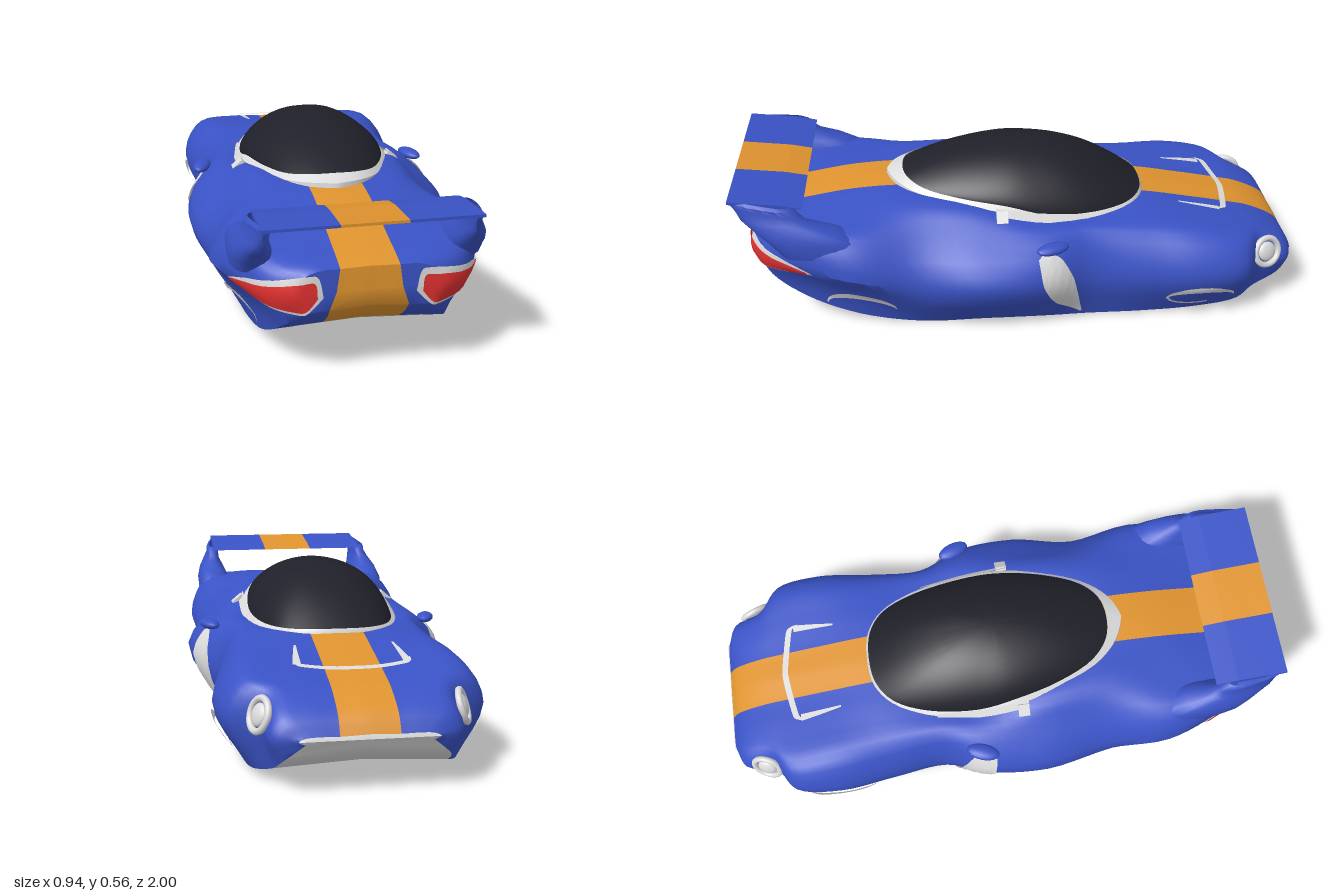
import * as THREE from 'three';
import { toCreasedNormals } from 'three/addons/utils/BufferGeometryUtils.js';

const V = (x, y, z = 0) => new THREE.Vector3(x, y, z);
const paint = (name, color) => {
  const m = new THREE.MeshStandardMaterial({ color, side: THREE.DoubleSide });
  m.name = name;
  return m;
};

// Skin a list of equal-length rings; pick(i, j) chooses the material group of each quad
function loft(rings, closed = true, pick = () => 0, crease = 0.7) {
  const n = rings[0].length, groups = [[], [], []];
  for (let i = 0; i < rings.length - 1; i++) {
    for (let j = 0; j < (closed ? n : n - 1); j++) {
      const a = i * n + j, b = i * n + (j + 1) % n, c = a + n, d = b + n;
      groups[pick(i, j)].push(a, c, b, b, c, d);
    }
  }
  const g = new THREE.BufferGeometry().setFromPoints(rings.flat());
  g.setIndex(groups.flat());
  let start = 0;
  groups.forEach((list, k) => {
    if (list.length) g.addGroup(start, list.length, k);
    start += list.length;
  });
  return toCreasedNormals(g, crease);
}

// Body sections: z, top y, inner shoulder x y, outer shoulder x y, widest x y, sill x y
const SECTIONS = [
  [-0.995, 0.19, 0.15, 0.188, 0.19, 0.185, 0.21, 0.175, 0.19, 0.165],
  [-0.96, 0.24, 0.18, 0.238, 0.25, 0.228, 0.285, 0.18, 0.25, 0.11],
  [-0.85, 0.295, 0.2, 0.296, 0.275, 0.284, 0.312, 0.2, 0.275, 0.052],
  [-0.78, 0.312, 0.22, 0.314, 0.345, 0.304, 0.403, 0.2, 0.32, 0.033],
  [-0.62, 0.345, 0.22, 0.345, 0.35, 0.335, 0.43, 0.2, 0.34, 0.02],
  [-0.42, 0.38, 0.22, 0.37, 0.33, 0.345, 0.405, 0.2, 0.34, 0.012],
  [-0.22, 0.38, 0.24, 0.37, 0.32, 0.36, 0.385, 0.2, 0.335, 0.01],
  [-0.08, 0.38, 0.25, 0.374, 0.345, 0.366, 0.448, 0.23, 0.335, 0.008],
  [0.15, 0.41, 0.26, 0.425, 0.335, 0.373, 0.47, 0.23, 0.33, 0.006],
  [0.38, 0.445, 0.24, 0.438, 0.33, 0.375, 0.425, 0.22, 0.325, 0.006],
  [0.6, 0.44, 0.25, 0.418, 0.37, 0.395, 0.435, 0.27, 0.3, 0.035],
  [0.78, 0.412, 0.25, 0.405, 0.355, 0.392, 0.375, 0.29, 0.28, 0.11],
  [0.9, 0.395, 0.2, 0.39, 0.28, 0.365, 0.305, 0.3, 0.245, 0.19],
  [0.95, 0.385, 0.15, 0.38, 0.2, 0.36, 0.235, 0.31, 0.19, 0.245],
];

function bodyGeometry() {
  const halves = SECTIONS.map(([z, y, ax, ay, bx, by, cx, cy, dx, dy]) => {
    const pts = new THREE.CatmullRomCurve3(
      [V(0, y, z), V(0.09, y - 0.003, z), V(ax, ay, z), V(bx, by, z), V(cx, cy, z), V(dx, dy, z)]).getPoints(20);
    // Tuck the flanks in behind the rear wheels
    const tuck = 0.05 * Math.max(0, 1 - Math.abs(z - 0.66) / 0.25);
    for (let k = 17; k < 20; k++) pts[k].x -= tuck * Math.sin((k - 16) / 4 * Math.PI);
    return pts;
  });
  const steps = 65;
  const columns = halves[0].map((_, k) => new THREE.CatmullRomCurve3(halves.map(h => h[k])).getPoints(steps));
  const rings = [];
  for (let i = 0; i <= steps; i++) {
    const h = columns.map(c => c[i]), { x, y, z } = h[20];
    // Floor, whose pale area narrows in an arc towards the tail
    const arch = 0.3 - 0.1 * Math.pow(THREE.MathUtils.clamp((z - 0.55) / 0.27, 0, 1), 1.7);
    for (const fx of [Math.min(x * 0.97, z > 0.5 ? arch : 1), 0.12, 0]) h.push(V(fx, y + 0.015 * (1 - fx / x), z));
    rings.push([...h, ...h.slice(1, -1).reverse().map(p => V(-p.x, p.y, p.z))]);
  }
  // Close nose and tail onto a horizontal line
  rings.unshift(rings[0].map(p => V(p.x, 0.176, -1)));
  rings.push(rings[rings.length - 1].map((p, j) =>
    V([4, 22, 24, 42].includes(j) ? 0.1 * Math.sign(p.x) : p.x, 0.31, 0.953)));
  return loft(rings, true, (i, j) => {
    const k = j < 23 ? j : 45 - j, z = rings[i][0].z;
    if (i === 0) return 2;
    if (k < 4) return 1;
    if (k < 20) return 0;
    if (z < (k === 20 ? 0.5 : 0.82)) return 2;
    return k === 22 ? 1 : 0;
  });
}

const arc = (cu, cv, ru, rv, from = 0, to = Math.PI, n = 16) =>
  Array.from({ length: n + 1 }, (_, i) => {
    const a = from + (to - from) * i / n;
    return [cu + ru * Math.cos(a), cv + rv * Math.sin(a)];
  });

export function createModel() {
  const car = new THREE.Group();
  car.name = 'car';
  const blue = paint('blue paint', 0x3a53c6), orange = paint('orange stripe', 0xe0942f);
  const white = paint('pale trim', 0xdcdcdc), dark = paint('dark glass', 0x20202a), red = paint('red lens', 0xe23030);
  const add = (name, geometry, material) => {
    const m = new THREE.Mesh(geometry, material);
    m.name = name;
    car.add(m);
    return m;
  };
  const body = add('body', bodyGeometry(), [blue, orange, white]);
  body.updateMatrixWorld();

  // Lay a thin plate between two edge lines onto the body, seen from one direction
  const ray = new THREE.Raycaster();
  function plate(name, from, edgeA, edgeB, material, s = 1, lift = 0.006, n = 24) {
    const curve = e => new THREE.CatmullRomCurve3(e.map(p => V(p[0], p[1])), false, 'catmullrom', 0.3).getPoints(n);
    const A = curve(edgeA), B = curve(edgeB);
    const dir = { side: V(-s, 0, 0), top: V(0, -1, 0), rear: V(0, 0, -1) }[from];
    let last = null;
    const rows = A.map((a, i) => [0, 0.25, 0.5, 0.75, 1].map(t => {
      const p = a.clone().lerp(B[i], t);
      const origin = { side: V(2 * s, p.y, p.x), top: V(p.x * s, 2, p.y), rear: V(p.x * s, p.y, 2) }[from];
      ray.set(origin, dir);
      const hit = ray.intersectObject(body)[0];
      if (hit) {
        last = hit.point.clone().addScaledVector(dir, -lift * 0.6);
        last.addScaledVector(hit.face.normal, lift * 0.6);
      }
      return (last || origin).clone();
    }));
    add(name, loft(rows, false), material);
  }

  // Canopy: glass dome on a rim, with a pale frame around it
  const half = [[0, 0.385, -0.45], [0.1, 0.383, -0.435], [0.175, 0.38, -0.38], [0.23, 0.378, -0.26], [0.257, 0.39, -0.08],
    [0.247, 0.425, 0.06], [0.21, 0.443, 0.22], [0.15, 0.457, 0.35], [0.08, 0.47, 0.41]];
  const outline = [...half, [0, 0.475, 0.425], ...half.slice(1).reverse().map(([x, y, z]) => [-x, y, z])];
  const rim = new THREE.CatmullRomCurve3(outline.map(p => V(...p)), true).getPoints(72).slice(0, -1);
  const dome = [];
  for (let k = 0; k <= 14; k++) {
    const a = k / 14 * Math.PI / 2, c = Math.cos(a);
    dome.push(rim.map(p => {
      const h = Math.pow(Math.sin(a), 1.35 + 0.75 * (p.z / 0.45) ** 2);
      return V(p.x * c, p.y + (0.566 - p.y) * h, p.z * c);
    }));
  }
  add('canopyGlass', loft(dome, true, undefined, 1.2), dark);
  const grow = (d, drop) => rim.map(p => {
    const tip = p.z > 0.3 ? 2.2 * d * Math.max(0, 1 - Math.abs(p.x) / 0.16) : 0;
    return V(p.x * (1 + d / 0.26), p.y - drop, p.z * (1 + d * (p.z < 0 ? 0.5 : 1) / 0.45) + tip);
  });
  add('canopyFrame', loft([grow(0.02, 0.06), grow(0.018, 0.012), grow(0, -0.004)]), white);

  // Rear wing, in three spans
  const span = (name, x0, x1, material) => {
    const profile = [[0.755, 0.505], [0.83, 0.522], [0.92, 0.533], [1, 0.543], [1, 0.534], [0.9, 0.516], [0.8, 0.502]];
    const shape = new THREE.Shape(profile.map(([z, y]) => new THREE.Vector2(-z, y)));
    const g = new THREE.ExtrudeGeometry(shape, { depth: x1 - x0, bevelEnabled: false });
    add(name, g.rotateY(Math.PI / 2).translate(x0, 0, 0), material);
  };
  span('wingStripe', -0.1, 0.1, orange);
  span('wingLeft', 0.1, 0.325, blue);
  span('wingRight', -0.325, -0.1, blue);

  for (const s of [1, -1]) {
    const side = s > 0 ? 'left' : 'right';

    // Wing pylon growing out of the rear fender: y, inner x, outer x, front z, back z
    const rings = [[0.34, 0.26, 0.395, 0.54, 0.84], [0.39, 0.262, 0.398, 0.58, 0.88], [0.43, 0.283, 0.388, 0.66, 0.92],
      [0.475, 0.3, 0.37, 0.74, 0.965], [0.515, 0.303, 0.355, 0.765, 0.985], [0.535, 0.302, 0.356, 0.78, 1], [0.543, 0.31, 0.345, 0.8, 1]]
      .map(([y, x0, x1, z0, z1]) => Array.from({ length: 20 }, (_, i) => {
        const a = i / 20 * Math.PI * 2, soft = v => Math.sign(v) * Math.pow(Math.abs(v), 0.7);
        const z = (z0 + z1) / 2 + (z1 - z0) / 2 * soft(Math.sin(a));
        const tilt = 0.14 * THREE.MathUtils.smoothstep(y, 0.43, 0.53);
        const taper = Math.cos(a) > 0 ? 0.03 * Math.max(0, (z - 0.83) / 0.17) : 0;
        return V(s * ((x0 + x1) / 2 + (x1 - x0) / 2 * soft(Math.cos(a)) - taper), y + (z - 1) * tilt, z);
      }));
    if (s > 0) rings.reverse();
    add(side + 'WingPylon', loft(rings, true, undefined, 1), blue);

    // Tail light and its frame
    plate(side + 'TailLightFrame', 'rear', [[0.14, 0.3], [0.165, 0.368], [0.34, 0.328], [0.392, 0.288]],
      [[0.14, 0.296], [0.2, 0.24], [0.33, 0.26], [0.392, 0.28]], white, s, 0.005);
    plate(side + 'TailLight', 'rear', [[0.158, 0.3], [0.173, 0.349], [0.34, 0.315], [0.388, 0.291]],
      [[0.158, 0.296], [0.2, 0.253], [0.33, 0.267], [0.388, 0.282]], red, s, 0.009);

    // Wheel arches
    plate(side + 'RearArch', 'side', arc(0.585, 0.1, 0.125, 0.07), arc(0.585, 0.1, 0.12, 0.035), white, s, 0.009);
    plate(side + 'FrontArch', 'side', arc(-0.62, 0.11, 0.125, 0.06), arc(-0.62, 0.11, 0.12, 0.032), white, s, 0.009);
    plate(side + 'FrontArchLower', 'side', arc(-0.61, 0.11, 0.11, 0.05, -2, 0), arc(-0.61, 0.11, 0.1, 0.04, -2, 0), white, s);

    // Headlight: ring and domed lens, facing outward and a little forward
    const lamp = new THREE.Group();
    lamp.name = side + 'Headlight';
    const ring = new THREE.Mesh(new THREE.TorusGeometry(0.05, 0.011, 8, 28), white);
    ring.name = 'headlightRing';
    const lens = new THREE.Mesh(new THREE.SphereGeometry(0.036, 20, 12), white);
    lens.name = 'headlightLens';
    lens.scale.z = 0.4;
    lamp.add(ring, lens);
    lamp.position.set(0.31 * s, 0.228, -0.875);
    lamp.lookAt(1.16 * s, 0.528, -1.225);
    car.add(lamp);

    // Side air intake with a small scoop above it
    plate(side + 'IntakeMouth', 'side', [[-0.035, 0.312], [-0.05, 0.225], [-0.1, 0.12], [-0.195, 0.035]],
      [[-0.06, 0.33], [-0.115, 0.305], [-0.16, 0.22], [-0.2, 0.04]], white, s);
    const scoop = add(side + 'IntakeScoop', new THREE.SphereGeometry(1, 16, 10), blue);
    scoop.scale.set(0.03, 0.018, 0.06);
    scoop.position.set(0.402 * s, 0.347, -0.085);
    scoop.rotation.y = 0.35 * s;

    // Shoulder inlet beside the canopy
    const inner = [[0.25, 0.385, -0.23], [0.262, 0.404, -0.05], [0.262, 0.432, 0.1]];
    const outer = [[0.258, 0.372, -0.23], [0.286, 0.374, -0.05], [0.308, 0.376, 0.1]];
    add(side + 'ShoulderPanel', loft([inner, outer].map(e =>
      new THREE.CatmullRomCurve3(e.map(([x, y, z]) => V(x * s, y, z))).getPoints(10)), false), white);
    const duct = add(side + 'ShoulderInlet', new THREE.BoxGeometry(0.045, 0.035, 0.04), white);
    duct.position.set(0.278 * s, 0.398, 0.08);
    duct.rotation.z = -0.7 * s;

    // Legs of the bonnet vent
    plate(side + 'VentLeg', 'top', [[0.188, -0.72], [0.178, -0.65], [0.164, -0.57]], [[0.162, -0.72], [0.16, -0.65], [0.157, -0.57]], white, s, 0.01);
  }

  // Front bar of the bonnet vent
  const bar = dz => [[-0.186, -0.72 + dz], [-0.165, -0.748 + dz], [0, -0.775 + dz], [0.165, -0.748 + dz], [0.186, -0.72 + dz]];
  plate('ventBar', 'top', bar(0), bar(0.022), white, 1, 0.014);
  return car;
}
